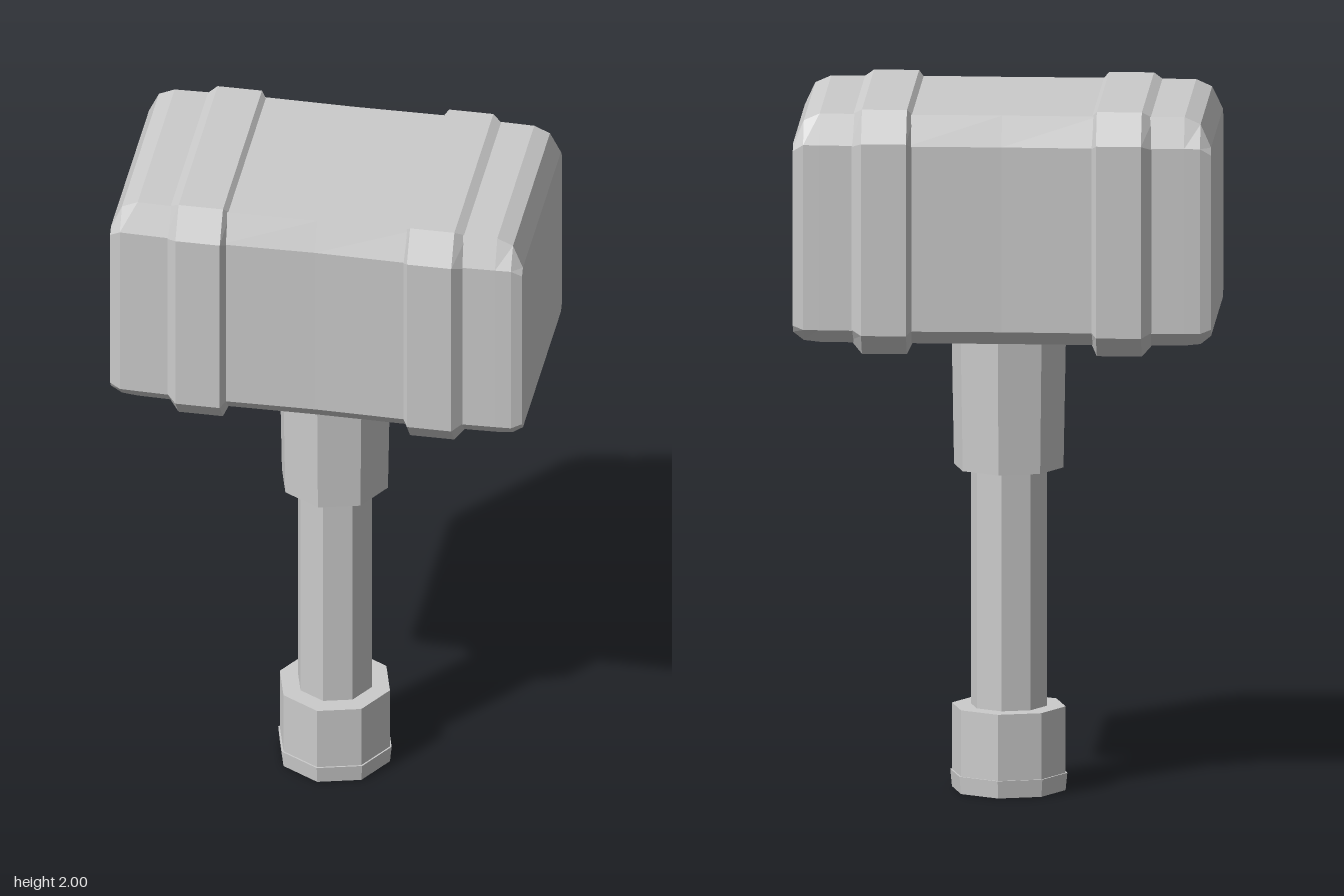
import * as THREE from 'three';

const material = new THREE.MeshStandardMaterial({ color: 0xcccccc, flatShading: true });

// Eight-sided cross-section at u along the head: half width, bottom, top, chamfer sizes
function section([u, hw, y0, y1, cw, c0, c1]) {
  const right = [[hw - cw, y0], [hw, y0 + c0], [hw, y1 - c1], [hw - cw, y1]];
  const left = right.map(([z, y]) => [-z, y]).reverse();
  return [...right, ...left].map(([z, y]) => new THREE.Vector3(u, y, z));
}

// Skin the sections with quads and close both ends with fans
function loft(specs) {
  const rings = specs.map(section);
  const points = [];
  const n = 8;
  for (let i = 0; i < rings.length - 1; i++) {
    const a = rings[i], b = rings[i + 1];
    for (let j = 0; j < n; j++) {
      const k = (j + 1) % n;
      points.push(a[j], b[j], b[k], a[j], b[k], a[k]);
    }
  }
  const first = rings[0], last = rings[rings.length - 1];
  for (let j = 1; j < n - 1; j++) {
    points.push(first[0], first[j], first[j + 1]);
    points.push(last[0], last[j + 1], last[j]);
  }
  const geometry = new THREE.BufferGeometry().setFromPoints(points);
  geometry.computeVertexNormals();
  return geometry;
}

function addMesh(parent, name, geometry) {
  const mesh = new THREE.Mesh(geometry, material);
  mesh.name = name;
  parent.add(mesh);
  return mesh;
}

// Octagonal handle piece between two heights
function octagon(parent, name, y0, y1, r0, r1) {
  const geometry = new THREE.CylinderGeometry(r1, r0, y1 - y0, 8, 1, false, THREE.MathUtils.degToRad(7.5));
  geometry.translate(-0.005, (y0 + y1) / 2, 0.005);
  return addMesh(parent, name, geometry);
}

export function createModel() {
  const model = new THREE.Group();
  model.name = 'hammer';

  // Head turned about the handle
  const head = new THREE.Group();
  head.name = 'head';
  head.rotation.y = -Math.PI / 6;
  model.add(head);

  // Chamfered block, slightly waisted in the middle
  const half = [
    [0.27, 0.335, 1.33, 1.985, 0.037, 0.04, 0.085],
    [0.515, 0.328, 1.33, 1.985, 0.037, 0.04, 0.085],
    [0.56, 0.326, 1.335, 1.965, 0.035, 0.035, 0.065],
    [0.59, 0.314, 1.36, 1.9, 0.015, 0.02, 0.02],
  ];
  const mirrored = half.map(([u, ...rest]) => [-u, ...rest]).reverse();
  const middle = [0, 0.33, 1.33, 1.985, 0.035, 0.04, 0.085];
  addMesh(head, 'headBlock', loft([...mirrored, middle, ...half]));

  // Two raised bands: steep inner edge, gentle outer edge
  const band = [
    [0.25, 0.328, 1.335, 1.98, 0.04, 0.04, 0.085],
    [0.268, 0.357, 1.3, 2.0, 0.05, 0.06, 0.09],
    [0.395, 0.357, 1.3, 2.0, 0.05, 0.06, 0.09],
    [0.428, 0.326, 1.335, 1.98, 0.04, 0.04, 0.085],
  ];
  addMesh(head, 'leftBand', loft(band));
  addMesh(head, 'rightBand', loft(band.map(([u, ...rest]) => [-u, ...rest]).reverse()));

  // Handle
  const handle = new THREE.Group();
  handle.name = 'handle';
  model.add(handle);
  octagon(handle, 'collar', 0.925, 1.36, 0.157, 0.165);
  octagon(handle, 'grip', 0.2, 0.95, 0.109, 0.109);
  octagon(handle, 'pommel', 0.04, 0.24, 0.163, 0.163);
  octagon(handle, 'pommelRim', 0, 0.05, 0.163, 0.168);

  return model;
}
